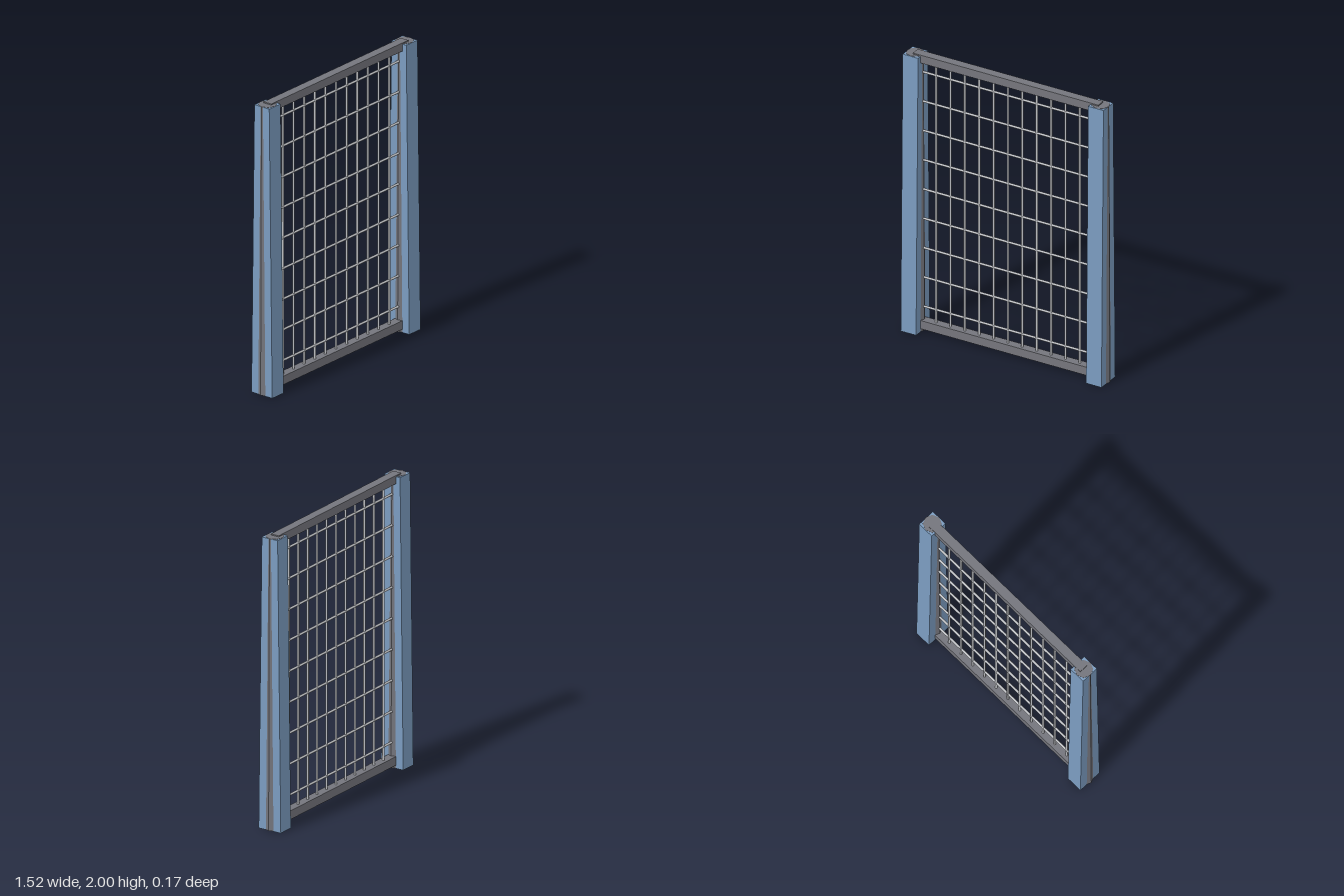
import * as THREE from 'three';

export function createModel() {
  const model = new THREE.Group();
  model.name = 'meshGate';

  const material = (name, color, flatShading = false) => {
    const m = new THREE.MeshStandardMaterial({ color, flatShading });
    m.name = name;
    return m;
  };
  const blue = material('bluePaint', 0x7b9cc0, true);
  const grey = material('darkGreyMetal', 0x75767d, true);
  const wire = material('lightGreyWire', 0xc2c4c8);

  const add = (name, geometry, mat, x, y, z = 0) => {
    const mesh = new THREE.Mesh(geometry, mat);
    mesh.name = name;
    mesh.position.set(x, y, z);
    model.add(mesh);
    return mesh;
  };

  // Post casing: a box whose depth narrows towards the top
  const casing = new THREE.BoxGeometry(0.114, 1.99, 0.171);
  const p = casing.attributes.position;
  for (let i = 0; i < p.count; i++) {
    if (p.getY(i) > 0) p.setZ(i, Math.sign(p.getZ(i)) * 0.061);
  }
  casing.computeVertexNormals();

  // Eight-sided core showing as a ridge on both sides of the casing
  const core = new THREE.CylinderGeometry(0.061, 0.069, 1.99, 8);

  for (const [side, x] of [['left', 0.69], ['right', -0.69]]) {
    add(side + 'PostCasing', casing, blue, x, 0.995);
    add(side + 'PostCore', core, grey, x, 0.997);
  }

  // Top and bottom rails
  add('topRail', new THREE.BoxGeometry(1.38, 0.057, 0.062), grey, 0, 1.9715);
  add('bottomRail', new THREE.BoxGeometry(1.38, 0.059, 0.062), grey, 0, 0.053);

  // Crossing wires of the mesh
  const upright = new THREE.CylinderGeometry(0.008, 0.008, 1.9, 8);
  for (let i = -5; i <= 5; i++) add('verticalWire', upright, wire, i * 0.107, 1.015);

  const cross = new THREE.CylinderGeometry(0.008, 0.008, 1.3, 8).rotateZ(Math.PI / 2);
  for (let i = 0; i < 9; i++) add('horizontalWire', cross, wire, 0, 0.174 + i * 0.2115);

  return model;
}
